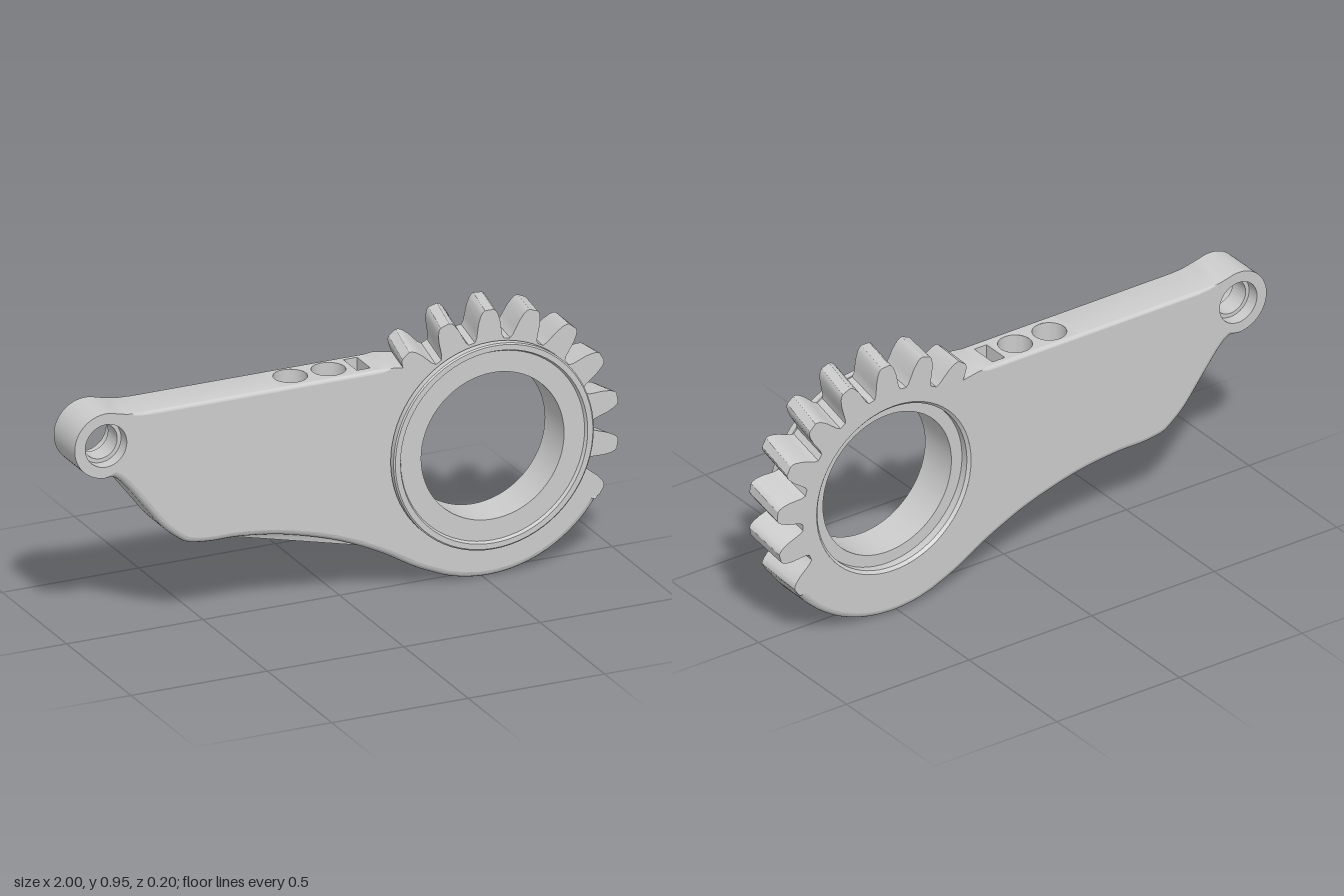
import * as THREE from 'three';
import { toCreasedNormals, mergeVertices } from 'three/addons/utils/BufferGeometryUtils.js';

const BACK = -0.1, FRONT = 0.063;      // plate faces
const GX = 0.52, GY = 0.48, TIP = 0.477, ROOT = 0.372; // gear
const LX = -0.885, LY = 0.715, LR = 0.115;             // lug eye
const HOLE_Z = -0.022;
const rad = THREE.MathUtils.degToRad;
const polar = (r, deg) => new THREE.Vector2(GX + r * Math.cos(rad(deg)), GY + r * Math.sin(rad(deg)));

const material = new THREE.MeshStandardMaterial({ color: 0xcccccc, side: THREE.DoubleSide });

function part(name, geometry, crease = 0.6) {
  const mesh = new THREE.Mesh(crease ? toCreasedNormals(geometry, crease) : geometry, material);
  mesh.name = name;
  return mesh;
}

const circle = (x, y, r) => new THREE.Path().absarc(x, y, r, 0, Math.PI * 2, true);
const rectangle = (x0, x1, z0, z1) => new THREE.Path([
  new THREE.Vector2(x0, z0), new THREE.Vector2(x0, z1), new THREE.Vector2(x1, z1), new THREE.Vector2(x1, z0)]);

// Plate outline, counter-clockwise; each point carries its edge rounding
function plateOutline() {
  const out = [];
  const add = (x, y, f) => out.push({ x, y, f });
  for (let a = -32; a <= 125; a += 4) { const p = polar(0.366, a); add(p.x, p.y, 0); }
  for (const x of [0.17, 0.13, -0.24, -0.72]) add(x, 0.81, x === 0.17 ? 0 : 0.012);
  add(-0.77, 0.811, 0.008);
  add(-0.81, 0.815, 0);
  for (let a = 70; a <= 268; a += 6) add(LX + LR * Math.cos(rad(a)), LY + LR * Math.sin(rad(a)), 0);
  const belly = new THREE.SplineCurve([
    [-0.855, 0.594], [-0.835, 0.582], [-0.8, 0.545], [-0.735, 0.462], [-0.674, 0.385], [-0.62, 0.337],
    [-0.578, 0.312], [-0.5, 0.301], [-0.39, 0.299], [-0.23, 0.278], [-0.04, 0.225],
    [0.12, 0.155], [0.25, 0.08], [0.33, 0.043]].map(p => new THREE.Vector2(...p)));
  for (const p of belly.getSpacedPoints(64)) add(p.x, p.y, 0.022);
  for (let a = -110; a <= -32; a += 3) { const p = polar(TIP, a); add(p.x, p.y, 0.022); }
  return out;
}

// Vertical bores and slots cut into the narrow top and bottom edges
const BORES = [-0.17, -0.03];
const TOP_SLOT = [0.05, 0.1, -0.075, 0.028];
const LOW_SLOT = [-0.43, -0.36, -0.075, 0.028];

function buildPlate(group) {
  const pts = plateOutline(), n = pts.length, STEPS = 4, rows = 2 * STEPS + 2;
  const inset = pts.map((p, i) => {
    const a = pts[(i + n - 1) % n], b = pts[(i + 1) % n];
    const d = new THREE.Vector2(b.x - a.x, b.y - a.y).normalize();
    return { nx: -d.y, ny: d.x };
  });

  // Windows of the wall that are replaced by pierced panels
  const windows = [
    { name: 'topEdgePanel', top: true, x0: -0.25, x1: 0.14, bores: 0.058, slot: TOP_SLOT },
    { name: 'lowerEdgePanel', top: false, x0: -0.5, x1: 0.08, bores: 0.048, slot: LOW_SLOT }];
  const windowOf = p => windows.find(w => p.x > w.x0 && p.x < w.x1 && p.y < 0.82 &&
    (w.top ? p.y > 0.8 : p.y < 0.32 && p.f === 0.022));

  // Rounded side wall
  const pos = [], index = [];
  pts.forEach((p, i) => {
    for (let j = 0; j < rows; j++) {
      const front = j <= STEPS;
      const t = (front ? j : rows - 1 - j) / STEPS * Math.PI / 2;
      const d = p.f * (1 - Math.sin(t)), e = p.f * (1 - Math.cos(t));
      pos.push(p.x + inset[i].nx * d, p.y + inset[i].ny * d, front ? FRONT - e : BACK + e);
    }
  });
  for (let i = 0; i < n; i++) {
    const k = (i + 1) % n, w = windowOf(pts[i]);
    const cut = w && w === windowOf(pts[k]);
    for (let j = 0; j < rows - 1; j++) {
      if (cut && j === STEPS) continue;
      const a = i * rows + j, b = k * rows + j;
      index.push(a, a + 1, b, b, a + 1, b + 1);
    }
  }
  const wall = new THREE.BufferGeometry();
  wall.setAttribute('position', new THREE.Float32BufferAttribute(pos, 3));
  wall.setIndex(index);
  group.add(part('plateEdge', wall));

  // Front and back faces
  for (const [name, z, bore] of [['plateFront', FRONT, 0.345], ['plateBack', BACK, 0.315]]) {
    const shape = new THREE.Shape(pts.map((p, i) =>
      new THREE.Vector2(p.x + inset[i].nx * p.f, p.y + inset[i].ny * p.f)));
    shape.holes.push(circle(GX, GY, bore), circle(LX, LY, 0.076));
    const face = new THREE.ShapeGeometry(shape, 32);
    if (z === BACK) {
      const ix = face.index.array;
      for (let i = 0; i < ix.length; i += 3) [ix[i], ix[i + 1]] = [ix[i + 1], ix[i]];
    }
    group.add(part(name, face.translate(0, 0, z)));
  }

  // Pierced panels, bent to follow the edge
  const heights = windows.map(w => {
    const run = pts.filter(p => windowOf(p) === w).sort((a, b) => a.x - b.x);
    const yAt = x => {
      let i = 1;
      while (i < run.length - 1 && run[i].x < x) i++;
      const a = run[i - 1], b = run[i];
      return a.y + (b.y - a.y) * (x - a.x) / (b.x - a.x);
    };
    const f = run[0].f;
    const shape = new THREE.Shape([
      ...run.map(p => new THREE.Vector2(p.x, BACK + f)),
      ...run.slice().reverse().map(p => new THREE.Vector2(p.x, FRONT - f))]);
    for (const x of BORES) shape.holes.push(circle(x, HOLE_Z, w.bores));
    shape.holes.push(rectangle(...w.slot));
    const g = new THREE.ShapeGeometry(shape, 24), q = g.attributes.position;
    for (let i = 0; i < q.count; i++) q.setXYZ(i, q.getX(i), yAt(q.getX(i)), q.getY(i));
    if (w.top) {
      const ix = g.index.array;
      for (let i = 0; i < ix.length; i += 3) [ix[i], ix[i + 1]] = [ix[i + 1], ix[i]];
    }
    group.add(part(w.name, g));
    return yAt;
  });

  // Stepped vertical bores
  for (const x of BORES) {
    const g = new THREE.LatheGeometry([[0.048, 0], [0.048, 0.36], [0.031, 0.36], [0.031, 0.7],
      [0.058, 0.7], [0.058, 0.81]].map(p => new THREE.Vector2(...p)), 32);
    g.translate(x, 0, HOLE_Z);
    const q = g.attributes.position;
    for (let i = 0; i < q.count; i++) if (q.getY(i) < 0.01) q.setY(i, heights[1](q.getX(i)));
    group.add(part('verticalBore', g));
  }

  // Rectangular pockets, open on the outer side
  for (const [slot, top, y, depth] of [[TOP_SLOT, true, 0.81, 0.2], [LOW_SLOT, false, 0.299, 0.12]]) {
    const [x0, x1, z0, z1] = slot;
    const g = new THREE.BoxGeometry(x1 - x0, depth, z1 - z0);
    const ix = Array.from(g.index.array);
    ix.splice(top ? 12 : 18, 6);
    g.setIndex(ix);
    g.translate((x0 + x1) / 2, y + (top ? -depth : depth) / 2, (z0 + z1) / 2);
    group.add(part('edgeSlot', g));
  }
}

// Helical teeth on a ring sector
function gearTeeth() {
  const flank = [[ROOT, 8.2], [0.385, 7], [0.405, 6.2], [0.435, 5.2], [0.46, 3.9], [0.472, 2.9], [TIP, 1.9]];
  const pts = [];
  for (let a = -30; a <= 130; a += 20) {
    for (const [r, w] of flank) pts.push(polar(r, a - w));
    for (const [r, w] of flank.slice().reverse()) pts.push(polar(r, a + w));
  }
  for (let a = 138; a >= -38; a -= 4) pts.push(polar(0.347, a));
  const g = new THREE.ExtrudeGeometry(new THREE.Shape(pts), { depth: FRONT - BACK, steps: 8, bevelEnabled: false });
  g.translate(-GX, -GY, BACK);
  const p = g.attributes.position;
  for (let i = 0; i < p.count; i++) {
    const t = rad(4) * (p.getZ(i) - FRONT) / (FRONT - BACK), c = Math.cos(t), s = Math.sin(t);
    const x = p.getX(i), y = p.getY(i);
    p.setXY(i, x * c - y * s + GX, x * s + y * c + GY);
  }
  return g;
}

// Ring turned about the z axis from [radius, z] pairs
const turned = (profile, x, y) =>
  new THREE.LatheGeometry(profile.map(p => new THREE.Vector2(...p)), 72).rotateX(Math.PI / 2).translate(x, y, 0);

export function createModel() {
  const model = new THREE.Group();
  model.name = 'gearSectorLever';
  buildPlate(model);
  model.add(part('gearTeeth', gearTeeth(), 0.5));
  model.add(part('hubCollarAndBore', turned([[0.315, BACK], [0.305, -0.09], [0.305, -0.062], [0.262, -0.062],
    [0.262, 0.088], [0.337, 0.088], [0.343, 0.1], [0.362, 0.1], [0.367, 0.096], [0.367, 0.073],
    [0.359, 0.068], [0.359, FRONT]], GX, GY), 0.4));
  model.add(part('lugEye', turned([[0.076, BACK], [0.076, -0.055], [0.062, -0.055],
    [0.062, 0.018], [0.076, 0.018], [0.076, FRONT]], LX, LY), 0.4));
  return model;
}
